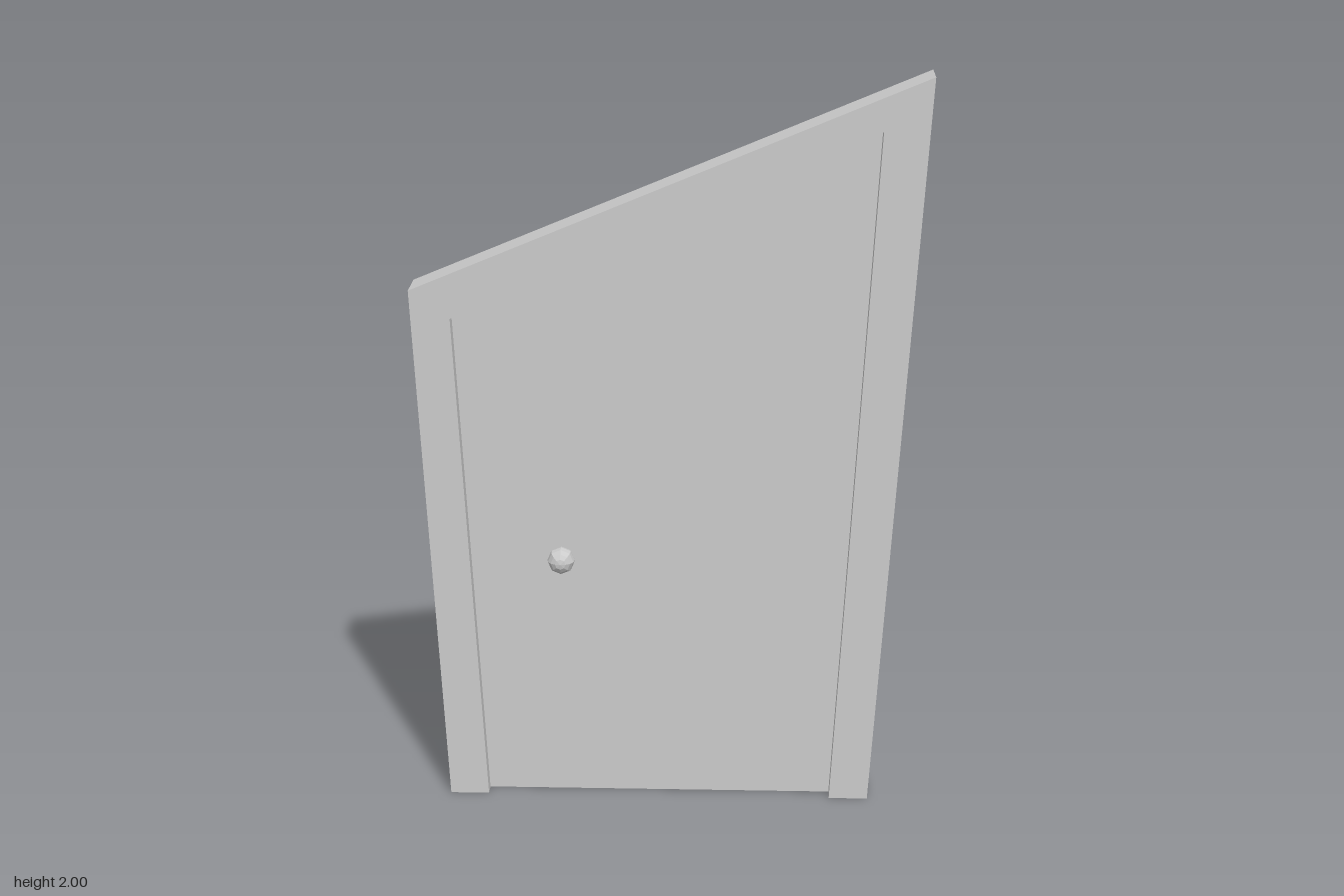
import * as THREE from 'three';

const BACK = -0.04, FRONT = 0.075, PANEL_FRONT = 0.035;

function material(extra = {}) {
  return new THREE.MeshStandardMaterial({ color: 0xcccccc, flatShading: true, ...extra });
}

// Extrude an outline from the back plane forward to zFront
function slab(points, zFront) {
  const shape = new THREE.Shape(points.map(([x, y]) => new THREE.Vector2(x, y)));
  const geo = new THREE.ExtrudeGeometry(shape, { depth: zFront - BACK, bevelEnabled: false });
  return geo.translate(0, 0, BACK);
}

// Remove the triangles lying on the ground, leaving the feet open underneath
function openBottom(geo) {
  const p = geo.attributes.position, kept = [];
  for (let i = 0; i < p.count; i += 3) {
    const corners = [i, i + 1, i + 2];
    if (corners.every((k) => p.getY(k) < 1e-5)) continue;
    for (const k of corners) kept.push(p.getX(k), p.getY(k), p.getZ(k));
  }
  const out = new THREE.BufferGeometry();
  out.setAttribute('position', new THREE.Float32BufferAttribute(kept, 3));
  out.computeVertexNormals();
  return out;
}

export function createModel() {
  const model = new THREE.Group();
  model.name = 'crookedDoor';

  // Outlines run from the left foot over the slanted top to the right foot
  const outer = [[0.55, 0], [0.675, 2], [-0.675, 1.435], [-0.6, 0]];
  const inner = [[0.445, 0], [0.548, 1.86], [-0.568, 1.36], [-0.495, 0]];

  // Slanted frame: two jambs and a lintel
  const frame = new THREE.Mesh(
    openBottom(slab([...outer, ...[...inner].reverse()], FRONT)),
    material({ side: THREE.DoubleSide })
  );
  frame.name = 'doorFrame';
  model.add(frame);

  // Door panel, flush at the back and recessed at the front
  const panel = new THREE.Mesh(slab(inner, PANEL_FRONT), material());
  panel.name = 'doorPanel';
  model.add(panel);

  // Knob profile: thin neck flaring into a faceted ball
  const r = 0.037, centre = 0.048;
  const profile = [new THREE.Vector2(0.015, -0.005), new THREE.Vector2(0.015, 0.014)];
  for (let i = 2; i <= 8; i++) {
    const a = (i / 8) * Math.PI;
    profile.push(new THREE.Vector2(i === 8 ? 0 : r * Math.sin(a), centre - r * Math.cos(a)));
  }
  const knobGeo = new THREE.LatheGeometry(profile, 8).rotateX(Math.PI / 2);
  for (const [name, z, turn] of [['frontKnob', PANEL_FRONT, 0], ['backKnob', BACK, Math.PI]]) {
    const knob = new THREE.Mesh(knobGeo, material());
    knob.name = name;
    knob.position.set(-0.285, 0.695, z);
    knob.rotation.y = turn;
    model.add(knob);
  }
  return model;
}
